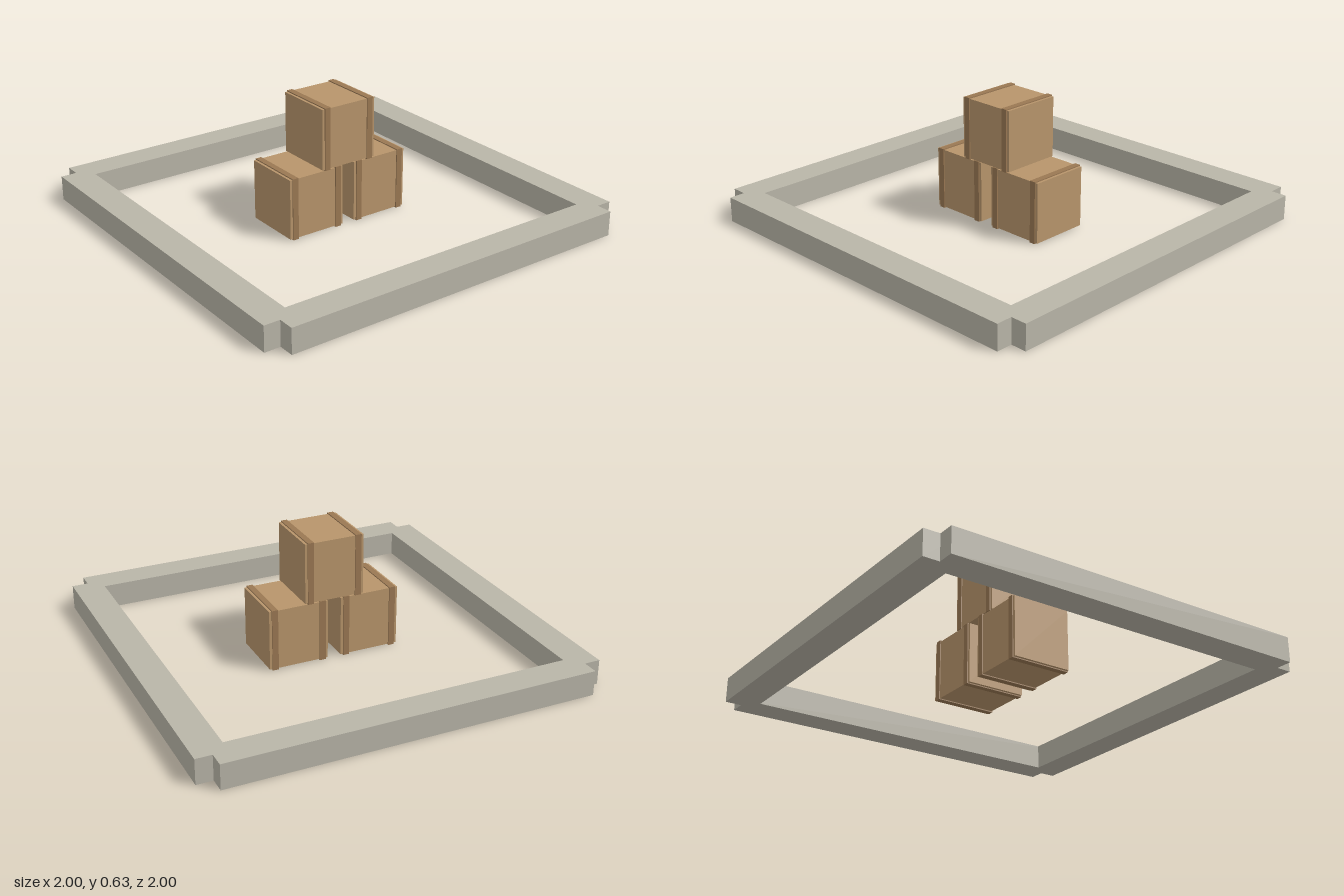
import * as THREE from 'three';

const stone = new THREE.MeshStandardMaterial({ color: 0xb9b5a8 });
const wood = new THREE.MeshStandardMaterial({ color: 0xb8956b });
const strap = new THREE.MeshStandardMaterial({ color: 0x9a7853 });

function box(name, size, position, material) {
  const mesh = new THREE.Mesh(new THREE.BoxGeometry(...size), material);
  mesh.position.set(...position);
  mesh.name = name;
  return mesh;
}

// Wooden crate with two slightly raised straps wrapped around it
function crate(name, x, y) {
  const size = 0.305, raised = 0.315;
  const group = new THREE.Group();
  group.name = name;
  group.add(box('crateBody', [size, size, size], [0, 0, 0], wood));
  for (const side of [-1, 1]) {
    group.add(box('crateStrap', [0.031, raised, raised], [side * 0.124, 0, 0], strap));
  }
  group.position.set(x, y, 0);
  return group;
}

export function createModel() {
  const model = new THREE.Group();
  model.name = 'cratesInKerb';

  // Square kerb: four equal beams, crossing at notched corners
  const length = 1.84, height = 0.125, width = 0.152, offset = 0.924;
  for (const side of [-1, 1]) {
    model.add(box(side > 0 ? 'frontBeam' : 'backBeam', [length, height, width], [0, height / 2, side * offset], stone));
    model.add(box(side > 0 ? 'leftBeam' : 'rightBeam', [width, height, length], [side * offset, height / 2, 0], stone));
  }

  // Stack: two crates on the ground, one across the gap
  model.add(crate('leftCrate', 0.187, 0.158));
  model.add(crate('rightCrate', -0.187, 0.158));
  model.add(crate('topCrate', 0, 0.468));
  return model;
}
